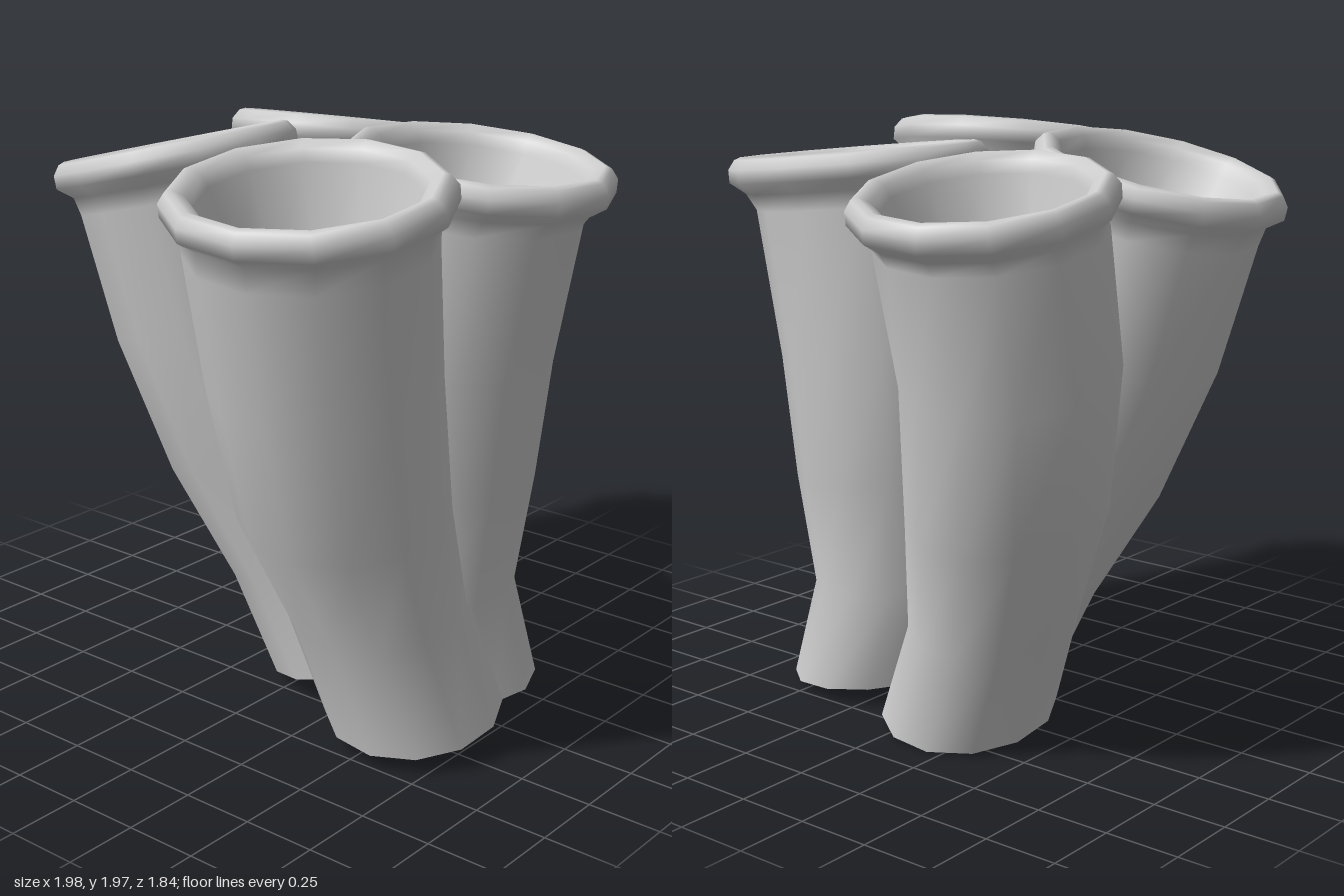
import * as THREE from 'three';

const SIDES = 12;

// Rolled lip: [height along the axis relative to the mouth, radius]
const LIP = [[-0.125, 0.363], [-0.085, 0.412], [-0.04, 0.412], [-0.008, 0.39], [0, 0.37], [-0.02, 0.335], [-0.06, 0.318]];

// Wall radii from the foot up to just under the lip
const WALL = [0.295, 0.282, 0.325, 0.345, 0.358];

// Each tube: axis of its ring planes, depth-to-width ratio of the mouth, turn of
// its corners in degrees, centre of the mouth, wall centres from the foot up
const TUBES = [
  {
    name: 'frontRightTube', axis: [-0.18, 1, 0.02], depth: 1.14, turn: -8, mouth: [-0.6, 1.905, 0.405],
    spine: [[-0.22, 0.1, 0.545], [-0.295, 0.46, 0.44], [-0.4, 0.8, 0.39], [-0.48, 1.25, 0.375], [-0.57, 1.7, 0.395]],
  },
  {
    name: 'frontLeftTube', axis: [0, 1, 0.1], depth: 1.14, turn: -6, mouth: [0.212, 1.878, 0.453],
    spine: [[0.22, 0.045, 0.385], [0.195, 0.39, 0.3], [0.2, 0.78, 0.305], [0.2, 1.2, 0.33], [0.205, 1.7, 0.405]],
  },
  {
    name: 'backLeftTube', axis: [0.2, 1, -0.04], depth: 1.01, turn: -11, mouth: [0.6, 1.845, -0.412],
    spine: [[0.345, 0.06, -0.145], [0.355, 0.4, -0.26], [0.43, 0.78, -0.375], [0.495, 1.25, -0.44], [0.565, 1.68, -0.42]],
  },
  {
    name: 'backRightTube', axis: [0, 1, -0.25], depth: 1.05, turn: 7, mouth: [-0.195, 1.86, -0.52],
    spine: [[0.01, 0.08, 0.12], [-0.04, 0.42, -0.04], [-0.1, 0.8, -0.21], [-0.155, 1.25, -0.37], [-0.185, 1.68, -0.475]],
  },
];

// Joins a stack of parallel rings into one smooth skin
function skin(rings, axis, turn) {
  const tilt = new THREE.Quaternion().setFromUnitVectors(new THREE.Vector3(0, 1, 0), axis);
  const pos = [];
  const index = [];
  rings.forEach(({ centre, radius, depth }, i) => {
    for (let j = 0; j < SIDES; j++) {
      const a = (j / SIDES) * Math.PI * 2 + THREE.MathUtils.degToRad(turn);
      const p = new THREE.Vector3(Math.cos(a) * radius, 0, Math.sin(a) * radius * depth).applyQuaternion(tilt).add(centre);
      pos.push(p.x, Math.max(p.y, 0), p.z);
      if (i === rings.length - 1) continue;
      const k = (j + 1) % SIDES;
      const [p0, p1, p2, p3] = [i * SIDES + j, i * SIDES + k, (i + 1) * SIDES + j, (i + 1) * SIDES + k];
      index.push(p0, p2, p1, p1, p2, p3);
    }
  });
  const geo = new THREE.BufferGeometry();
  geo.setAttribute('position', new THREE.Float32BufferAttribute(pos, 3));
  geo.setIndex(index);
  geo.computeVertexNormals();
  return geo;
}

function makeTube({ name, axis, depth, turn, mouth, spine }, material) {
  const n = new THREE.Vector3(...axis).normalize();
  const top = new THREE.Vector3(...mouth);
  const centres = spine.map((c) => new THREE.Vector3(...c));

  // Outer wall, open at the foot, growing deeper towards the mouth
  const rings = centres.map((centre, i) => ({
    centre, radius: WALL[i], depth: THREE.MathUtils.lerp(1, depth, Math.sqrt(i / 4)),
  }));

  // Rolled lip
  for (const [h, radius] of LIP) rings.push({ centre: top.clone().addScaledVector(n, h), radius, depth });

  // Hollow: a funnel that follows the bend of the tube down to a point
  const throat = rings[rings.length - 1].centre;
  rings.push(
    { centre: throat.clone().lerp(centres[3], 0.5), radius: 0.215, depth },
    { centre: centres[3], radius: 0.105, depth: 1 },
    { centre: centres[3].clone().lerp(centres[2], 0.5), radius: 0.05, depth: 1 },
    { centre: centres[2], radius: 0.002, depth: 1 },
  );

  const mesh = new THREE.Mesh(skin(rings, n, turn), material);
  mesh.name = name;
  return mesh;
}

export function createModel() {
  const group = new THREE.Group();
  group.name = 'tubeCluster';
  const material = new THREE.MeshStandardMaterial({ color: 0xcccccc, side: THREE.DoubleSide });
  for (const tube of TUBES) group.add(makeTube(tube, material));
  return group;
}
